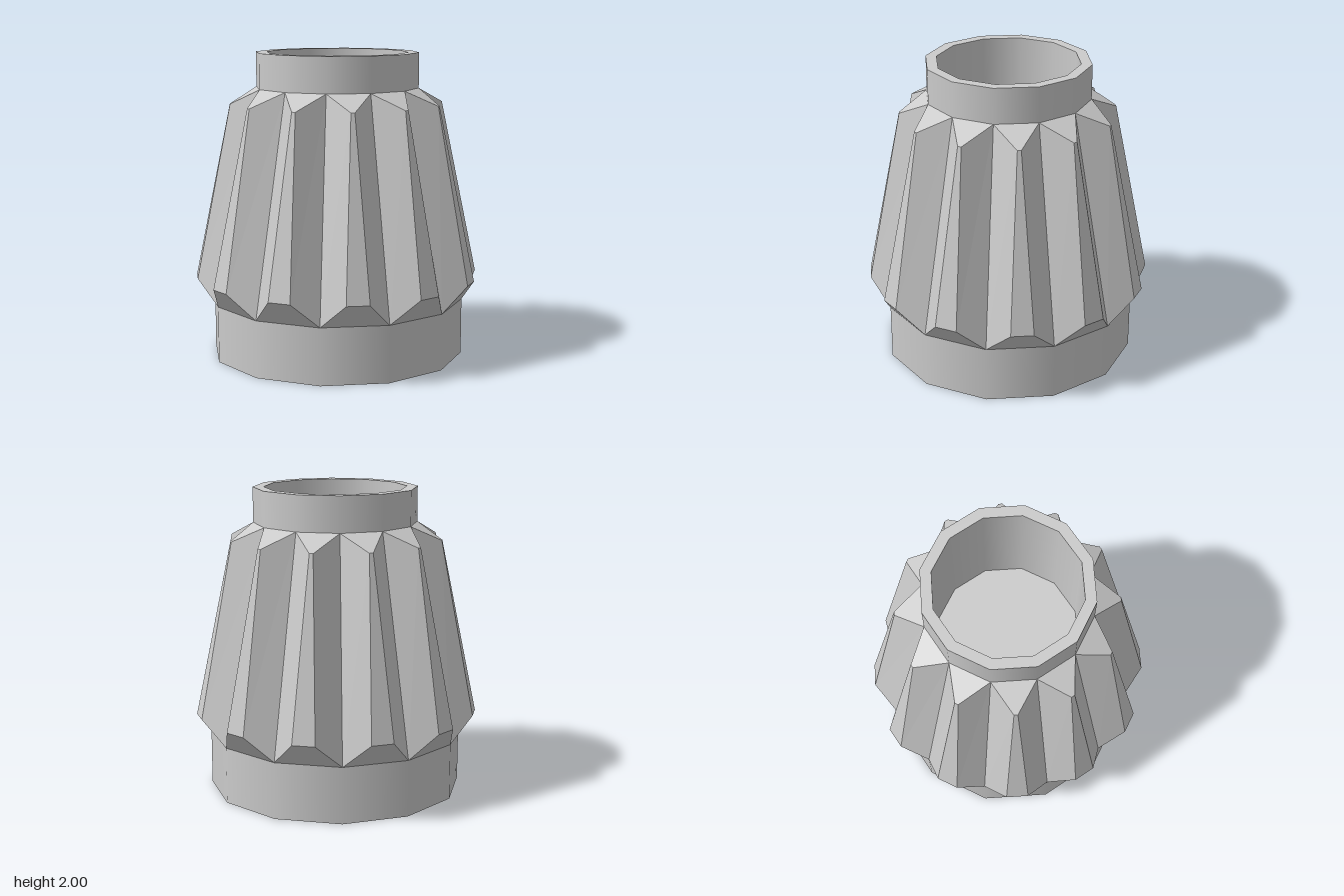
import * as THREE from 'three';
import { mergeGeometries } from 'three/addons/utils/BufferGeometryUtils.js';

const SIDES = 12;
const STEP = (Math.PI * 2) / SIDES;

// Turned part: smooth around the axis, sharp at every profile corner
function turned(name, profile, material) {
  const bands = [];
  for (let i = 0; i < profile.length - 1; i++) {
    const pair = [profile[i], profile[i + 1]].map(([r, y]) => new THREE.Vector2(r, y));
    bands.push(new THREE.LatheGeometry(pair, SIDES));
  }
  const mesh = new THREE.Mesh(mergeGeometries(bands), material);
  mesh.name = name;
  return mesh;
}

// Point at angle a, moved out by r and sideways by s
function polar(a, r, y, s = 0) {
  return [r * Math.sin(a) + s * Math.cos(a), y, r * Math.cos(a) - s * Math.sin(a)];
}

// One tapered flute between two neighbouring valleys
function fluteGeometry() {
  const half = STEP / 2;
  const section = (a, side) => [
    polar(a, 0.836, 0.37),               // valley bottom
    polar(0, 0.932, 0.53, side * 0.073), // ridge bottom
    polar(0, 0.701, 1.67, side * 0.012), // ridge top
    polar(a, 0.536, 1.77),               // valley top
  ];
  const L = section(-half, -1);
  const R = section(half, 1);
  const quads = [
    [L[0], R[0], R[1], L[1]], // lower bevel
    [L[1], R[1], R[2], L[2]], // ridge face
    [L[2], R[2], R[3], L[3]], // upper bevel
    [L[0], L[1], L[2], L[3]], // left flank
    [R[1], R[0], R[3], R[2]], // right flank
  ];
  const positions = quads.flatMap(([a, b, c, d]) => [a, b, c, a, c, d]).flat();
  const geometry = new THREE.BufferGeometry();
  geometry.setAttribute('position', new THREE.Float32BufferAttribute(positions, 3));
  geometry.computeVertexNormals();
  return geometry;
}

export function createModel() {
  const model = new THREE.Group();
  model.name = 'flutedKnob';
  const smooth = new THREE.MeshStandardMaterial({ color: 0xcccccc });
  const faceted = new THREE.MeshStandardMaterial({ color: 0xcccccc, flatShading: true });

  // Plain base drum with closed bottom
  model.add(turned('base', [[0, 0], [0.836, 0], [0.836, 0.37]], smooth));

  // Ring of flutes forming the tapered grip
  const grip = new THREE.Group();
  grip.name = 'flutedGrip';
  const flute = fluteGeometry();
  for (let i = 0; i < SIDES; i++) {
    const mesh = new THREE.Mesh(flute, faceted);
    mesh.name = 'flute';
    mesh.rotation.y = (i + 0.5) * STEP;
    grip.add(mesh);
  }
  model.add(grip);

  // Collar with rim and blind bore
  model.add(turned('collar', [[0.536, 1.77], [0.536, 2], [0.465, 2]], smooth));
  model.add(turned('bore', [[0.465, 2], [0.465, 1.2], [0, 1.2]], smooth));
  return model;
}
